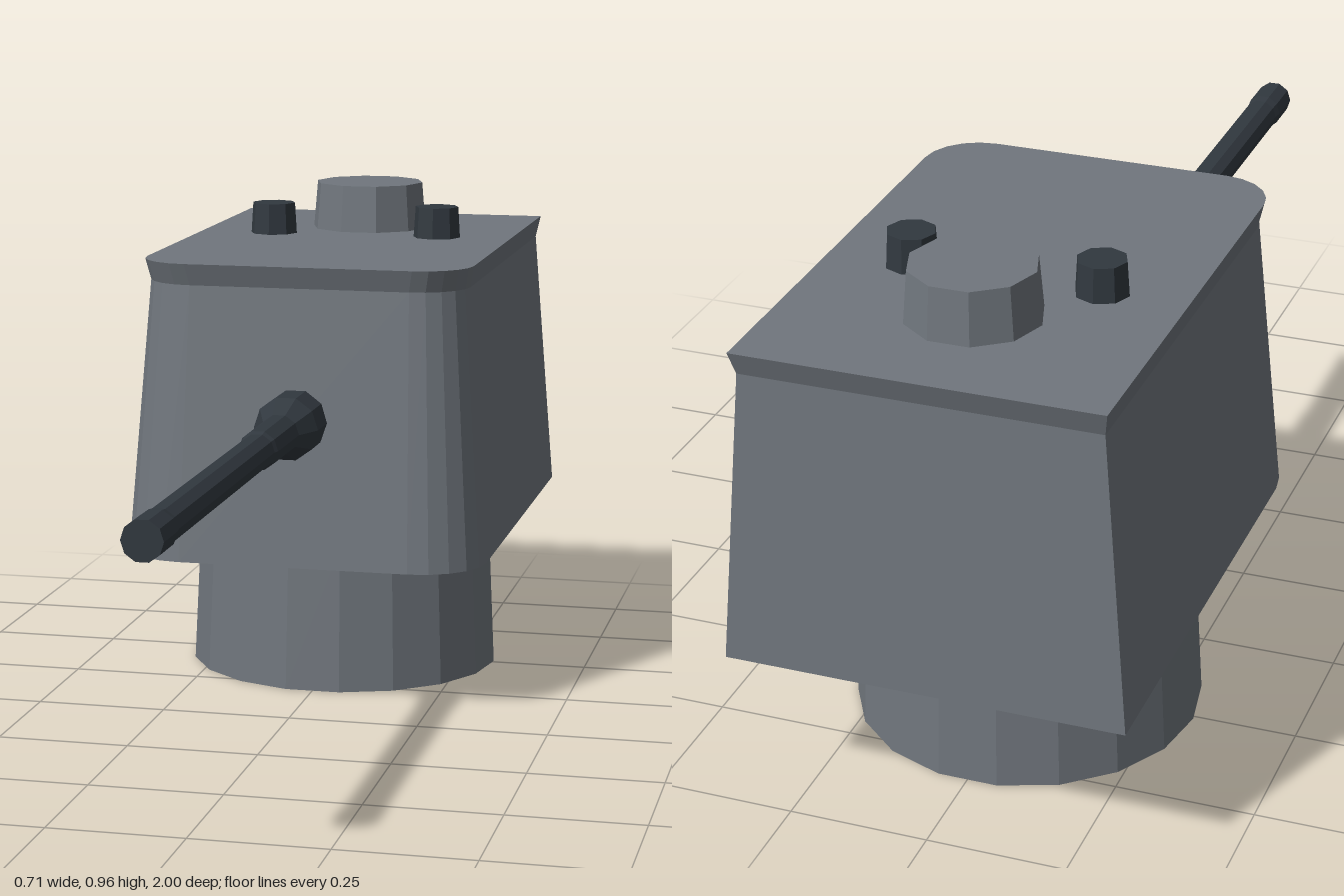
import * as THREE from 'three';

const armour = new THREE.MeshStandardMaterial({ color: 0x70767d, flatShading: true });
armour.name = 'grey armour';
const steel = new THREE.MeshStandardMaterial({ color: 0x31383f, flatShading: true });
steel.name = 'dark steel';

// Outline with a square back and rounded front corners, counterclockwise from above
function outline({ y, w, front, back, r }, steps = 5) {
  const pts = [new THREE.Vector3(w, y, back), new THREE.Vector3(-w, y, back)];
  for (const side of [-1, 1]) {
    for (let i = 0; i <= steps; i++) {
      const a = (side < 0 ? i : steps - i) / steps * Math.PI / 2;
      pts.push(new THREE.Vector3(
        side * (w - r + r * Math.cos(a)), y, front - r + r * Math.sin(a)));
    }
  }
  return pts;
}

// Closed solid joining stacked outlines
function loft(sections) {
  const rings = sections.map((s) => outline(s));
  const n = rings[0].length;
  const tris = [];
  for (let k = 0; k < rings.length - 1; k++) {
    const lo = rings[k], hi = rings[k + 1];
    for (let i = 0; i < n; i++) {
      const j = (i + 1) % n;
      tris.push(lo[i], lo[j], hi[j], lo[i], hi[j], hi[i]);
    }
  }
  const bottom = rings[0], top = rings[rings.length - 1];
  for (let i = 1; i < n - 1; i++) {
    tris.push(top[0], top[i], top[i + 1], bottom[0], bottom[i + 1], bottom[i]);
  }
  const geo = new THREE.BufferGeometry().setFromPoints(tris);
  geo.computeVertexNormals();
  return geo;
}

export function createModel() {
  const model = new THREE.Group();
  model.name = 'gunTurret';

  const add = (name, geo, mat, x = 0, y = 0, z = 0) => {
    const mesh = new THREE.Mesh(geo, mat);
    mesh.name = name;
    mesh.position.set(x, y, z);
    model.add(mesh);
    return mesh;
  };

  // Tapered drum standing between y0 and y1
  const drum = (name, mat, rTop, rBottom, y0, y1, sides, turn, x, z) =>
    add(name, new THREE.CylinderGeometry(rTop, rBottom, y1 - y0, sides, 1, false, turn),
      mat, x, (y0 + y1) / 2, z);

  // Pedestal
  drum('pedestal', armour, 0.298, 0.312, 0, 0.29, 18, Math.PI / 18, 0, -0.507);

  // Housing: sloping walls with a flared rim
  add('housing', loft([
    { y: 0.29, w: 0.354, front: -0.022, back: -1, r: 0.13 },
    { y: 0.82, w: 0.313, front: -0.076, back: -0.976, r: 0.1 },
    { y: 0.862, w: 0.321, front: -0.063, back: -0.99, r: 0.1 },
  ]), armour);

  // Roof hatch and the two periscopes
  drum('hatch', armour, 0.111, 0.119, 0.86, 0.956, 10, Math.PI / 10, 0, -0.732);
  for (const side of [-1, 1]) {
    drum(side > 0 ? 'leftPeriscope' : 'rightPeriscope', steel,
      0.044, 0.048, 0.86, 0.924, 8, 0, side * 0.17, -0.585);
  }

  // Gun barrel with thick collar, pointing forward
  const profile = [
    [0, -0.1], [0.062, -0.1], [0.062, 0.025], [0.038, 0.08], [0.037, 0.24],
    [0.033, 0.25], [0.033, 0.9], [0.036, 0.92], [0.036, 1], [0, 1],
  ].map(([r, z]) => new THREE.Vector2(r, z));
  const barrel = new THREE.LatheGeometry(profile, 10, Math.PI / 10);
  barrel.rotateX(Math.PI / 2);
  add('gunBarrel', barrel, steel, 0, 0.569, 0);

  return model;
}
